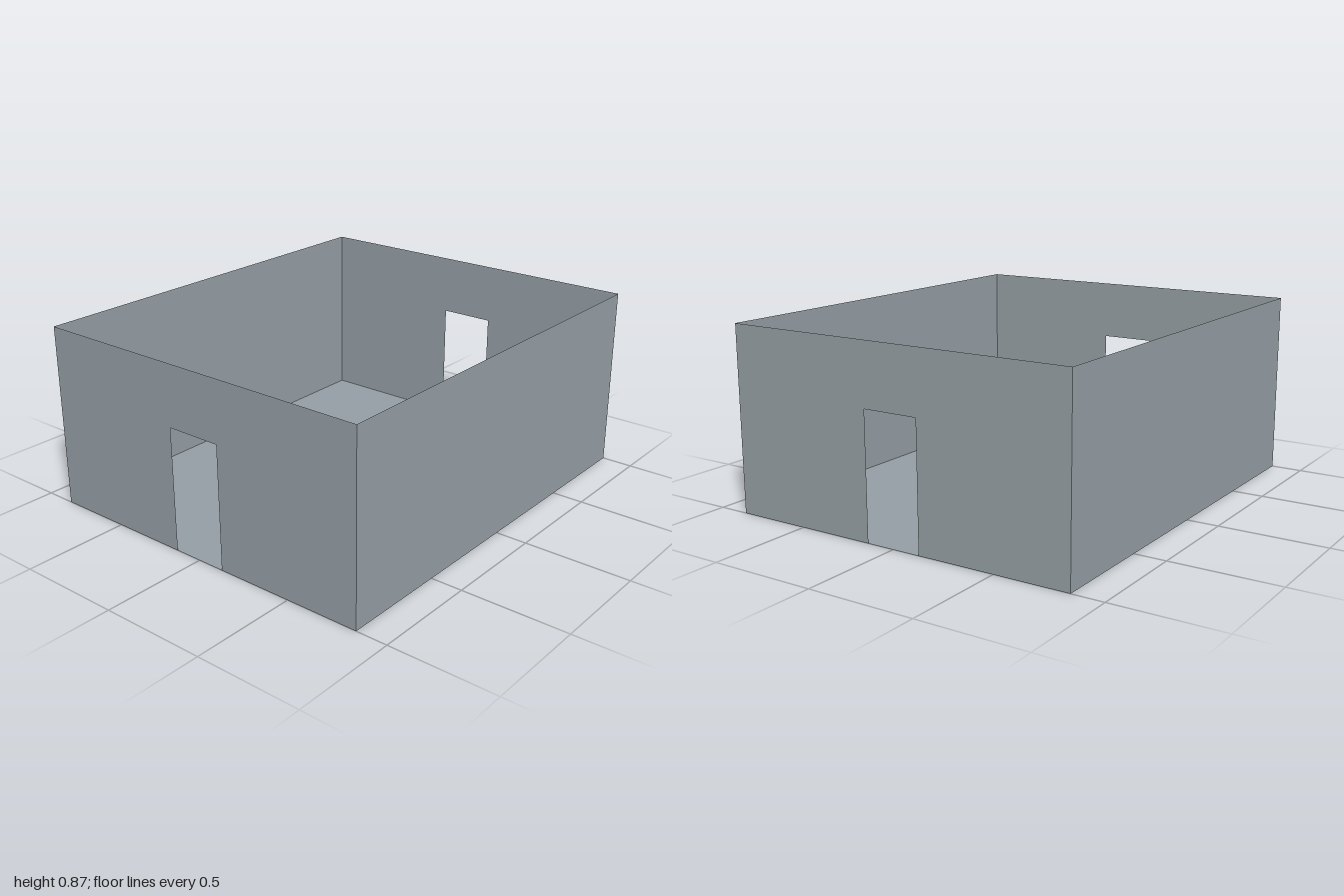
import * as THREE from 'three';

const HALF_X = 1, HALF_Z = 0.852, HEIGHT = 0.865;
const DOOR_HALF = 0.133, DOOR_HEIGHT = 0.578;

export function createModel() {
  const model = new THREE.Group();
  model.name = 'roofless room';
  const wallGrey = new THREE.MeshStandardMaterial({ color: 0x939da3, side: THREE.DoubleSide });
  wallGrey.name = 'wall grey';

  const add = (name, geometry, position, rotation) => {
    const mesh = new THREE.Mesh(geometry, wallGrey);
    mesh.name = name;
    mesh.position.set(...position);
    mesh.rotation.set(...rotation);
    model.add(mesh);
  };

  // Floor sheet
  add('floor', new THREE.PlaneGeometry(2 * HALF_X, 2 * HALF_Z), [0, 0, 0], [-Math.PI / 2, 0, 0]);

  // Solid front and back walls
  const solidWall = new THREE.PlaneGeometry(2 * HALF_X, HEIGHT);
  add('frontWall', solidWall, [0, HEIGHT / 2, HALF_Z], [0, 0, 0]);
  add('backWall', solidWall, [0, HEIGHT / 2, -HALF_Z], [0, Math.PI, 0]);

  // Side walls, each with a doorway reaching the floor
  const outline = new THREE.Shape([
    [-HALF_Z, 0], [-DOOR_HALF, 0], [-DOOR_HALF, DOOR_HEIGHT], [DOOR_HALF, DOOR_HEIGHT],
    [DOOR_HALF, 0], [HALF_Z, 0], [HALF_Z, HEIGHT], [-HALF_Z, HEIGHT],
  ].map(([x, y]) => new THREE.Vector2(x, y)));
  const doorWall = new THREE.ShapeGeometry(outline);
  add('leftDoorWall', doorWall, [HALF_X, 0, 0], [0, Math.PI / 2, 0]);
  add('rightDoorWall', doorWall, [-HALF_X, 0, 0], [0, -Math.PI / 2, 0]);

  return model;
}
